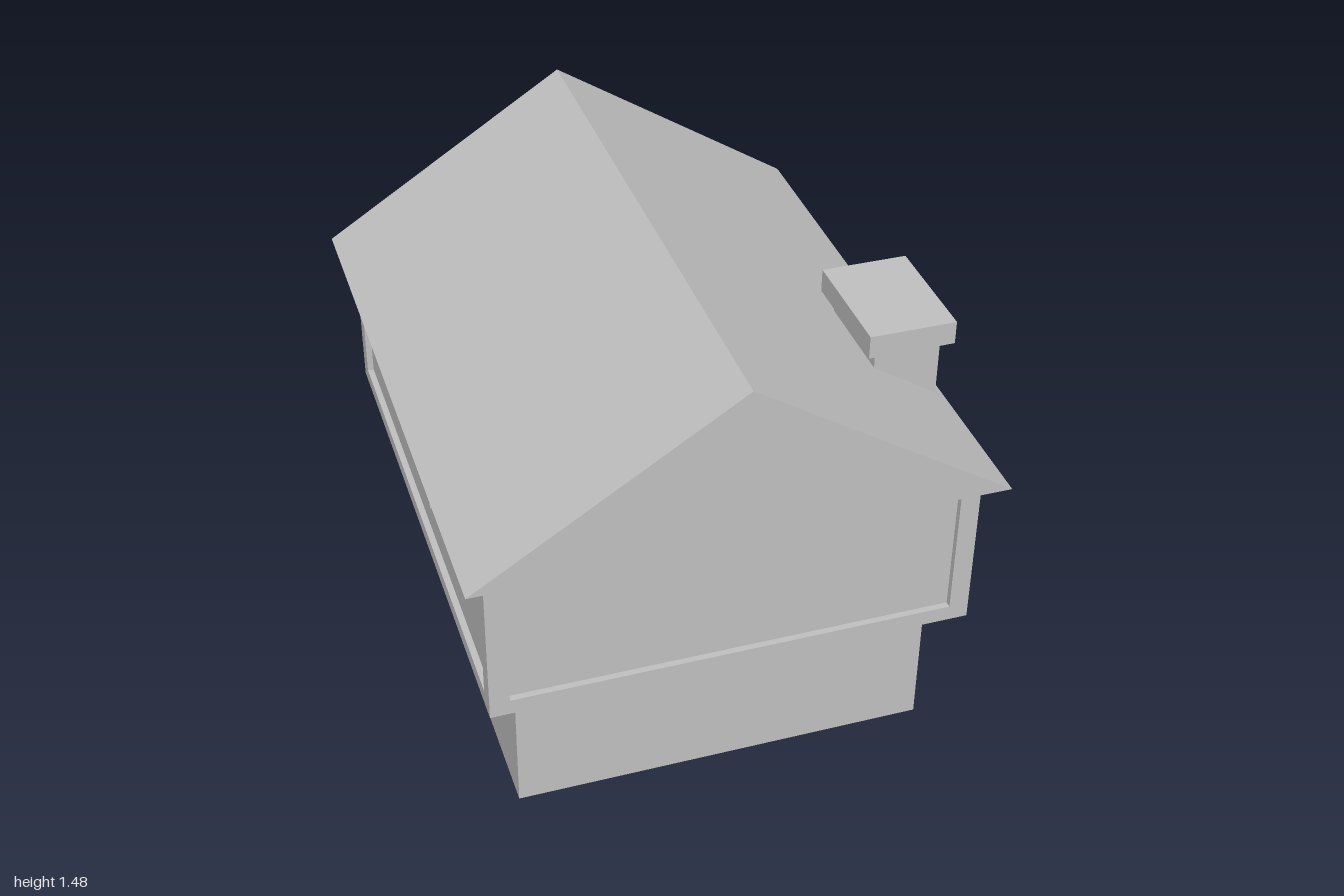
import * as THREE from 'three';

const plaster = new THREE.MeshStandardMaterial({ color: 0xc0c0c0 });
plaster.name = 'light grey';

export function createModel() {
  const house = new THREE.Group();
  house.name = 'house';

  // Box given by its extents along each axis
  function box(name, [x0, x1], [y0, y1], [z0, z1], parent = house) {
    const mesh = new THREE.Mesh(new THREE.BoxGeometry(x1 - x0, y1 - y0, z1 - z0), plaster);
    mesh.position.set((x0 + x1) / 2, (y0 + y1) / 2, (z0 + z1) / 2);
    mesh.name = name;
    parent.add(mesh);
    return mesh;
  }

  // Ground floor
  box('groundFloor', [-0.64, 0.64], [0, 0.455], [-0.755, 0.84]);

  // Overhanging upper floor: recessed walls framed by a sill and corner posts
  const upper = new THREE.Group();
  upper.name = 'upperFloor';
  house.add(upper);
  const W = 0.735, BACK = -0.85, FRONT = 0.935, EAVE = 0.965, RECESS = 0.02, POST = 0.06;
  box('upperWalls', [-W + RECESS, W - RECESS], [0.49, EAVE], [BACK + RECESS, FRONT - RECESS], upper);
  box('sill', [-W, W], [0.45, 0.5], [BACK, FRONT], upper);
  for (const x of [-W, W - POST]) {
    for (const z of [BACK, FRONT - POST]) {
      box('cornerPost', [x, x + POST], [0.5, EAVE], [z, z + POST], upper);
    }
  }

  // Gable roof with closed soffit
  const gable = new THREE.Shape();
  gable.moveTo(-0.797, EAVE);
  gable.lineTo(0.797, EAVE);
  gable.lineTo(0, 1.475);
  gable.closePath();
  const roof = new THREE.Mesh(
    new THREE.ExtrudeGeometry(gable, { depth: 1.92, bevelEnabled: false }), plaster);
  roof.position.z = -0.92;
  roof.name = 'roof';
  house.add(roof);

  // Chimney on the side wall
  box('chimneyStack', [0.56, 0.767], [0, 1.18], [0.203, 0.523]);
  box('chimneyCap', [0.528, 0.8], [1.175, 1.25], [0.17, 0.553]);

  // Back entrance
  box('doorstep', [-0.29, 0.29], [0, 0.035], [-1, -0.75]);
  box('door', [-0.19, 0.19], [0.035, 0.355], [-0.79, -0.75]);
  box('canopy', [-0.24, 0.24], [0.388, 0.415], [-0.952, -0.75]);

  // Back windows, a pair on each floor
  for (const x of [-0.38, 0.38]) {
    box('lowerWindow', [x - 0.1, x + 0.1], [0.2, 0.355], [-0.773, -0.75]);
    box('upperWindow', [x - 0.1, x + 0.1], [0.66, 0.815], [-0.848, -0.82]);
  }

  // Wide window on the side opposite the chimney
  box('sideWindow', [-0.733, -0.71], [0.655, 0.815], [-0.12, 0.21]);

  return house;
}
